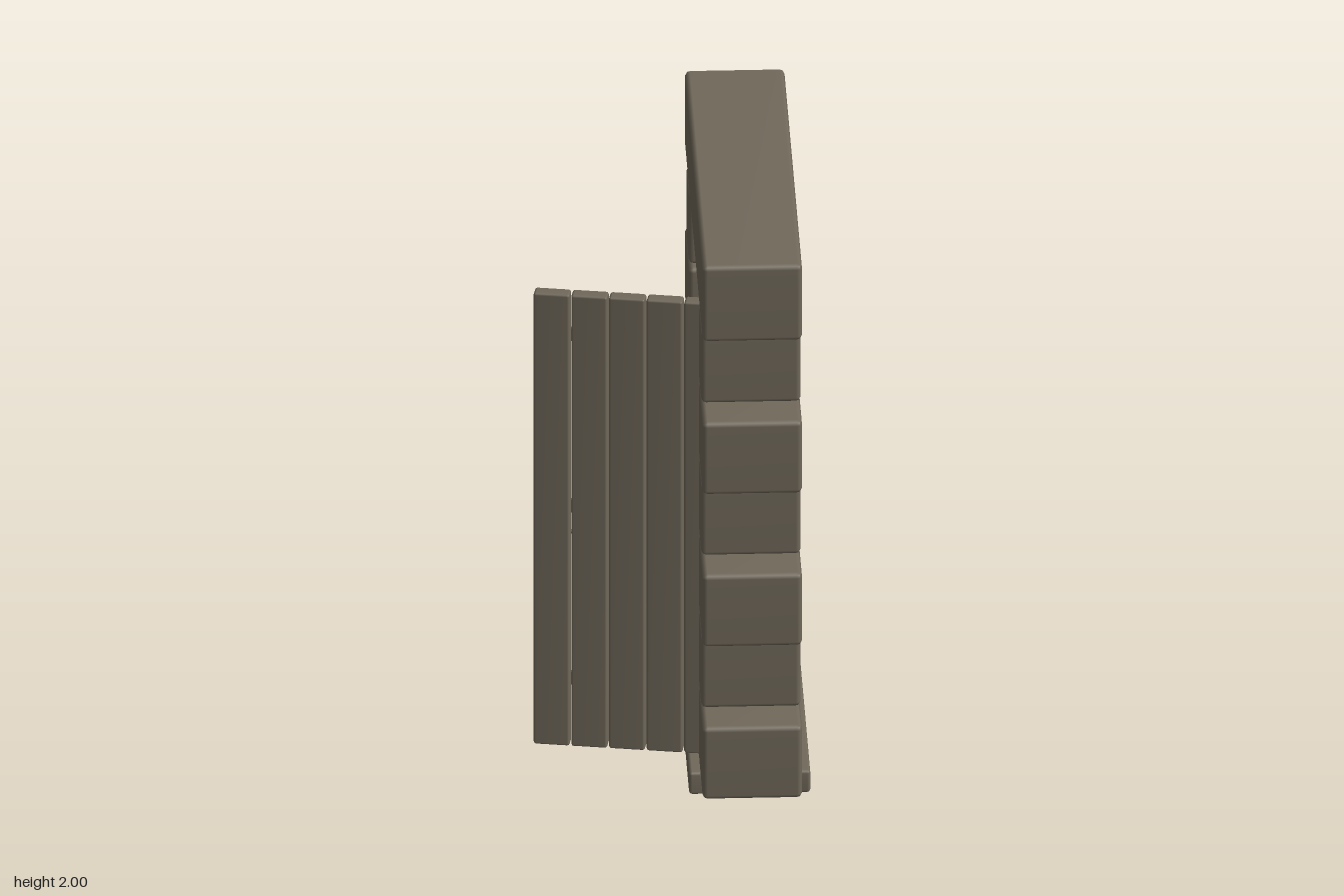
import * as THREE from 'three';
import { mergeVertices } from 'three/addons/utils/BufferGeometryUtils.js';

const stone = new THREE.MeshStandardMaterial({ color: 0x70685a });
stone.name = 'weatheredBrown';

// Box with softened edges: a 3x3 grid per side, outer rows squeezed into a bevel
function bevelBox(w, h, d, bevel) {
  const geo = new THREE.BoxGeometry(1, 1, 1, 3, 3, 3);
  geo.deleteAttribute('normal');
  geo.deleteAttribute('uv');
  const pos = geo.attributes.position;
  const half = [w / 2, h / 2, d / 2];
  for (let i = 0; i < pos.count; i++) {
    const p = [pos.getX(i), pos.getY(i), pos.getZ(i)];
    const outer = p.filter((c) => Math.abs(c) > 0.4).length;
    const pull = [0, 0, 0.35, 0.45][outer] * bevel;
    const q = p.map((c, k) =>
      Math.sign(c) * (half[k] - (Math.abs(c) > 0.4 ? pull : bevel)));
    pos.setXYZ(i, q[0], q[1], q[2]);
  }
  const merged = mergeVertices(geo, 1e-5);
  merged.computeVertexNormals();
  return merged;
}

function add(parent, name, geo, x, y, z) {
  const mesh = new THREE.Mesh(geo, stone);
  mesh.name = name;
  mesh.position.set(x, y, z);
  parent.add(mesh);
  return mesh;
}

function buildFrame() {
  const frame = new THREE.Group();
  frame.name = 'stoneFrame';
  const cx = 0.245;
  add(frame, 'sill', bevelBox(0.39, 0.08, 1.01, 0.01), cx, 0.04, 0);
  add(frame, 'lintel', bevelBox(0.32, 0.272, 1.43, 0.016), cx, 1.863, 0);

  // Alternating long and short blocks on both sides of the opening
  for (const side of [1, -1]) {
    const jamb = new THREE.Group();
    jamb.name = side > 0 ? 'frontJamb' : 'backJamb';
    for (let row = 0; row < 6; row++) {
      const inner = 0.397;
      const outer = row % 2 ? 0.606 : 0.717;
      add(jamb, 'jambBlock', bevelBox(0.32, 0.26, outer - inner, 0.016),
        cx, 0.215 + row * 0.2735, side * (inner + outer) / 2);
    }
    frame.add(jamb);
  }
  return frame;
}

function buildDoor() {
  const door = new THREE.Group();
  door.name = 'openDoor';
  const count = 6;
  const pitch = 0.122;
  const plankX = (i) => (i - (count - 1) / 2) * pitch;

  for (let i = 0; i < count; i++) {
    add(door, 'plank', bevelBox(0.117, 1.62, 0.05, 0.008), plankX(i), 0.895, 0);
  }

  // Iron straps with one rivet per plank
  const rivet = new THREE.SphereGeometry(0.01, 10, 6);
  for (const y of [0.308, 0.924, 1.54]) {
    add(door, 'strap', new THREE.BoxGeometry(0.634, 0.045, 0.014), 0.047, y, -0.029);
    for (let i = 0; i < count; i++) {
      add(door, 'rivet', rivet, plankX(i), y, -0.036);
    }
  }

  // Pull ring
  add(door, 'pullRing', new THREE.TorusGeometry(0.05, 0.007, 8, 24), -0.234, 0.862, -0.06);

  door.position.set(-0.08, 0, 0.328);
  door.rotation.y = -THREE.MathUtils.degToRad(10);
  return door;
}

export function createModel() {
  const model = new THREE.Group();
  model.name = 'stoneDoorway';
  model.add(buildFrame(), buildDoor());
  return model;
}
